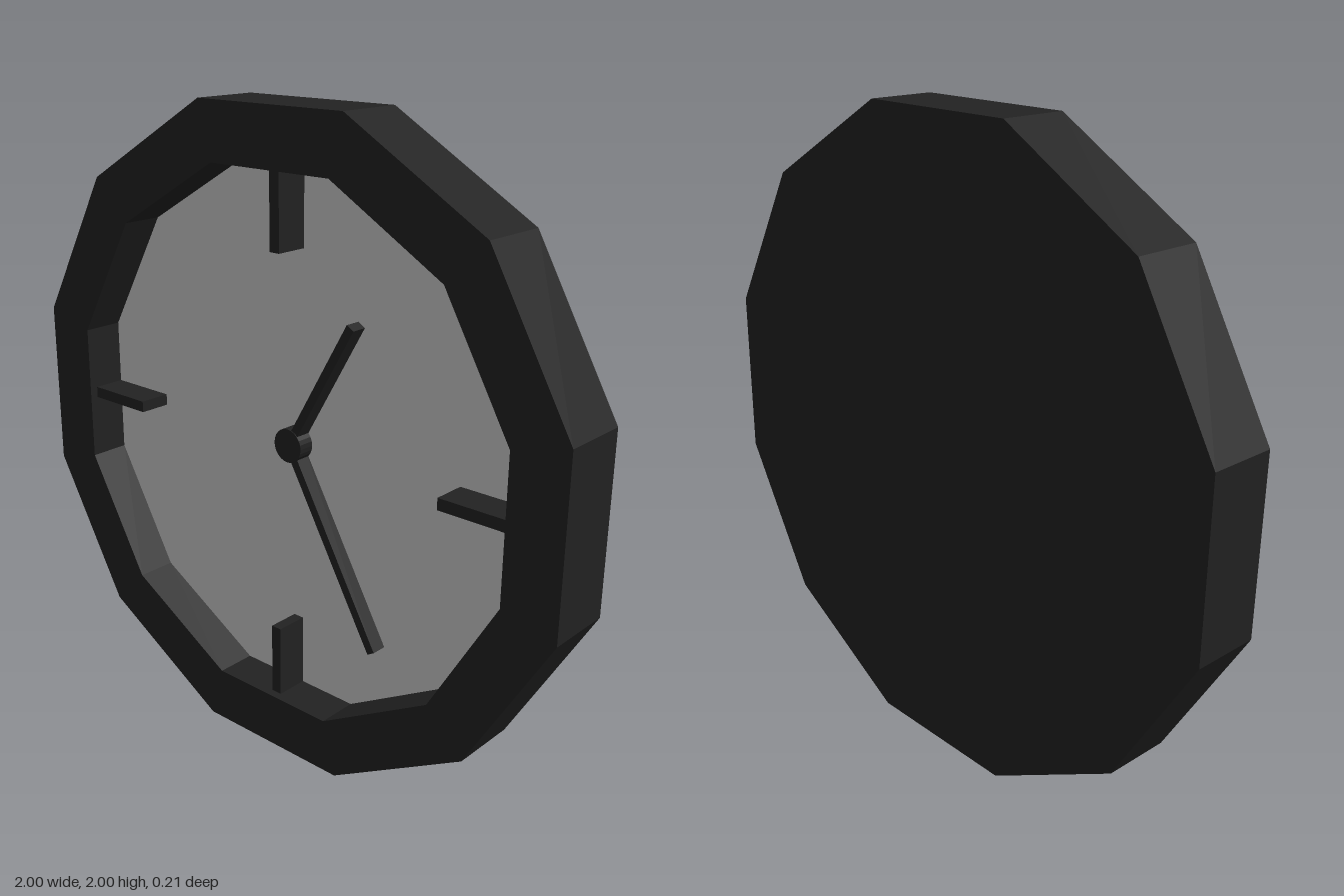
import * as THREE from 'three';

const HALF_DEPTH = 0.107;
const FACE_Z = -0.025;
const SIDES = 12;
const OUTER = 1 / Math.cos(Math.PI / SIDES);
const INNER = 0.825 / Math.cos(Math.PI / SIDES);

export function createModel() {
  const clock = new THREE.Group();
  clock.name = 'wallClock';
  const dark = new THREE.MeshStandardMaterial({ color: 0x222222, flatShading: true });
  const grey = new THREE.MeshStandardMaterial({ color: 0xcccccc });

  const add = (name, geometry, material) => {
    const mesh = new THREE.Mesh(geometry, material);
    mesh.name = name;
    mesh.position.y = 1;
    clock.add(mesh);
    return mesh;
  };

  // Bar standing on the face, reaching from radius r0 to r1 at a clockwise angle from twelve
  const addBar = (name, r0, r1, width, depth, degrees) => {
    const geometry = new THREE.BoxGeometry(width, r1 - r0, depth);
    geometry.translate(0, (r0 + r1) / 2, FACE_Z + depth / 2);
    add(name, geometry, dark).rotation.z = -THREE.MathUtils.degToRad(degrees);
  };

  // Twelve-sided case: closed back, outer wall, rim and inner wall
  const profile = [
    [0, -HALF_DEPTH], [OUTER, -HALF_DEPTH], [OUTER, HALF_DEPTH],
    [INNER, HALF_DEPTH], [INNER, FACE_Z],
  ].map(([r, h]) => new THREE.Vector2(r, h));
  const body = new THREE.LatheGeometry(profile, SIDES, Math.PI / SIDES);
  add('case', body.rotateX(Math.PI / 2), dark);

  // Recessed dial
  const dial = new THREE.CircleGeometry(INNER, SIDES, Math.PI / SIDES);
  add('dial', dial.translate(0, 0, FACE_Z), grey);

  // Quarter-hour markers
  for (const hour of [12, 3, 6, 9]) {
    addBar(`marker${hour}`, 0.593, 0.825, 0.036, 0.105, hour * 30);
  }

  // Hands and hub
  addBar('hourHand', 0, 0.47, 0.028, 0.05, 30);
  addBar('minuteHand', 0, 0.67, 0.028, 0.05, 150);
  const hub = new THREE.CylinderGeometry(0.053, 0.053, 0.052, 24);
  hub.rotateX(Math.PI / 2).translate(0, 0, FACE_Z + 0.026);
  add('hub', hub, dark);

  return clock;
}
